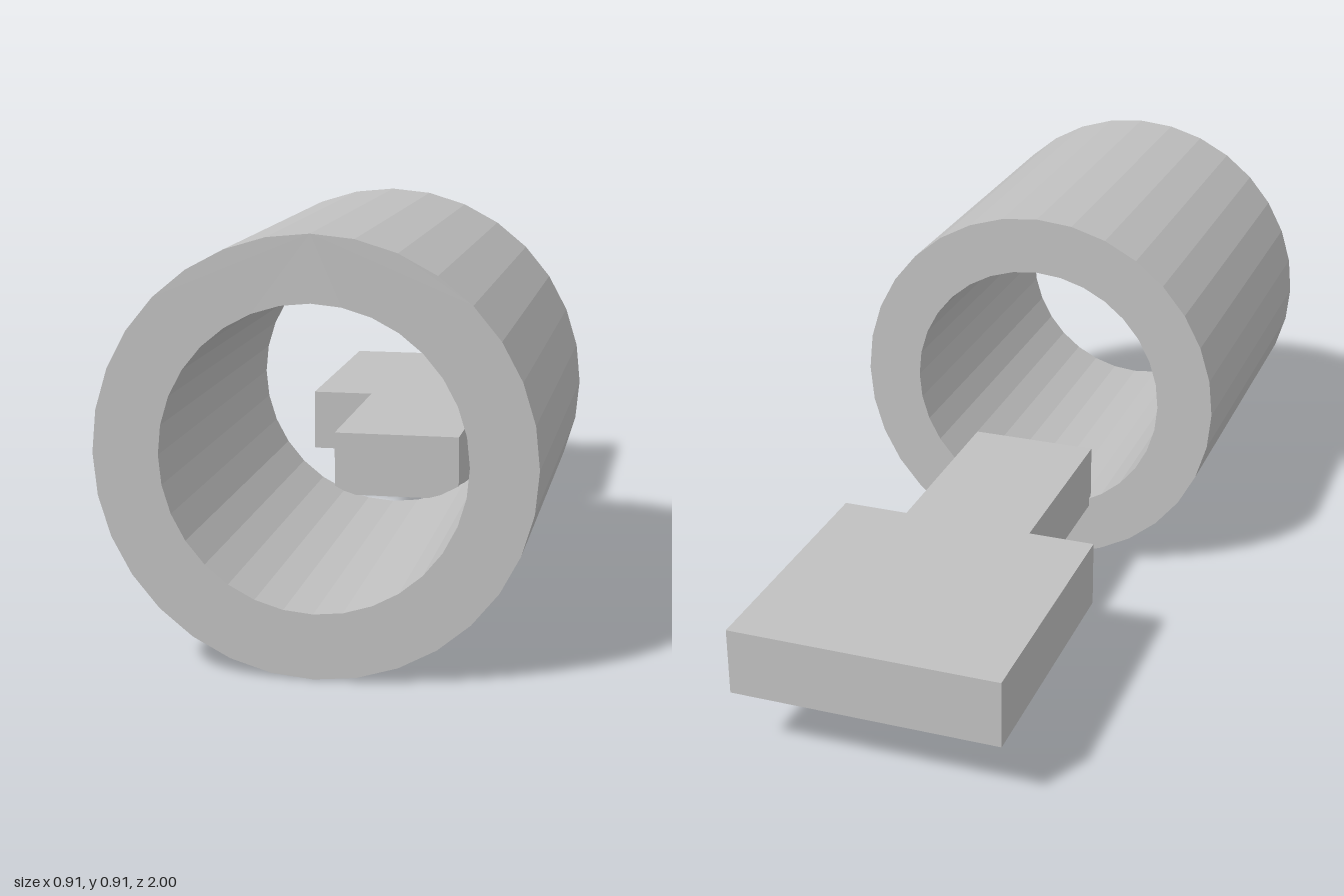
import * as THREE from 'three';

const SIDES = 32;

// Regular polygon outline with a corner on each axis
function ringPoints(radius) {
  return Array.from({ length: SIDES }, (_, i) => {
    const a = (i / SIDES) * Math.PI * 2;
    return new THREE.Vector2(radius * Math.cos(a), radius * Math.sin(a));
  });
}

function extrude(shape, depth) {
  return new THREE.ExtrudeGeometry(shape, { depth, bevelEnabled: false });
}

export function createModel() {
  const model = new THREE.Group();
  model.name = 'tubeWithTab';
  const grey = new THREE.MeshStandardMaterial({ color: 0xc0c0c0, flatShading: true });
  grey.name = 'light grey';

  // Thick hollow tube lying along z
  const ring = new THREE.Shape(ringPoints(0.456));
  ring.holes.push(new THREE.Path(ringPoints(0.318)));
  const tube = new THREE.Mesh(extrude(ring, 0.91), grey);
  tube.name = 'tube';
  tube.position.set(0, 0.456, 0.09);
  model.add(tube);

  // T-shaped tab: square paddle with a narrow neck reaching just inside the bore
  const paddleHalf = 0.312, neckHalf = 0.155;
  const backZ = -1, shoulderZ = -0.376, neckEndZ = 0.105;
  const outline = [
    [-paddleHalf, backZ], [paddleHalf, backZ], [paddleHalf, shoulderZ],
    [neckHalf, shoulderZ], [neckHalf, neckEndZ], [-neckHalf, neckEndZ],
    [-neckHalf, shoulderZ], [-paddleHalf, shoulderZ],
  ].map(([x, z]) => new THREE.Vector2(x, -z));
  const tabGeometry = extrude(new THREE.Shape(outline), 0.156);
  tabGeometry.rotateX(-Math.PI / 2);
  const tab = new THREE.Mesh(tabGeometry, grey);
  tab.name = 'tab';
  tab.position.set(0.011, 0.153, 0);
  model.add(tab);

  return model;
}
